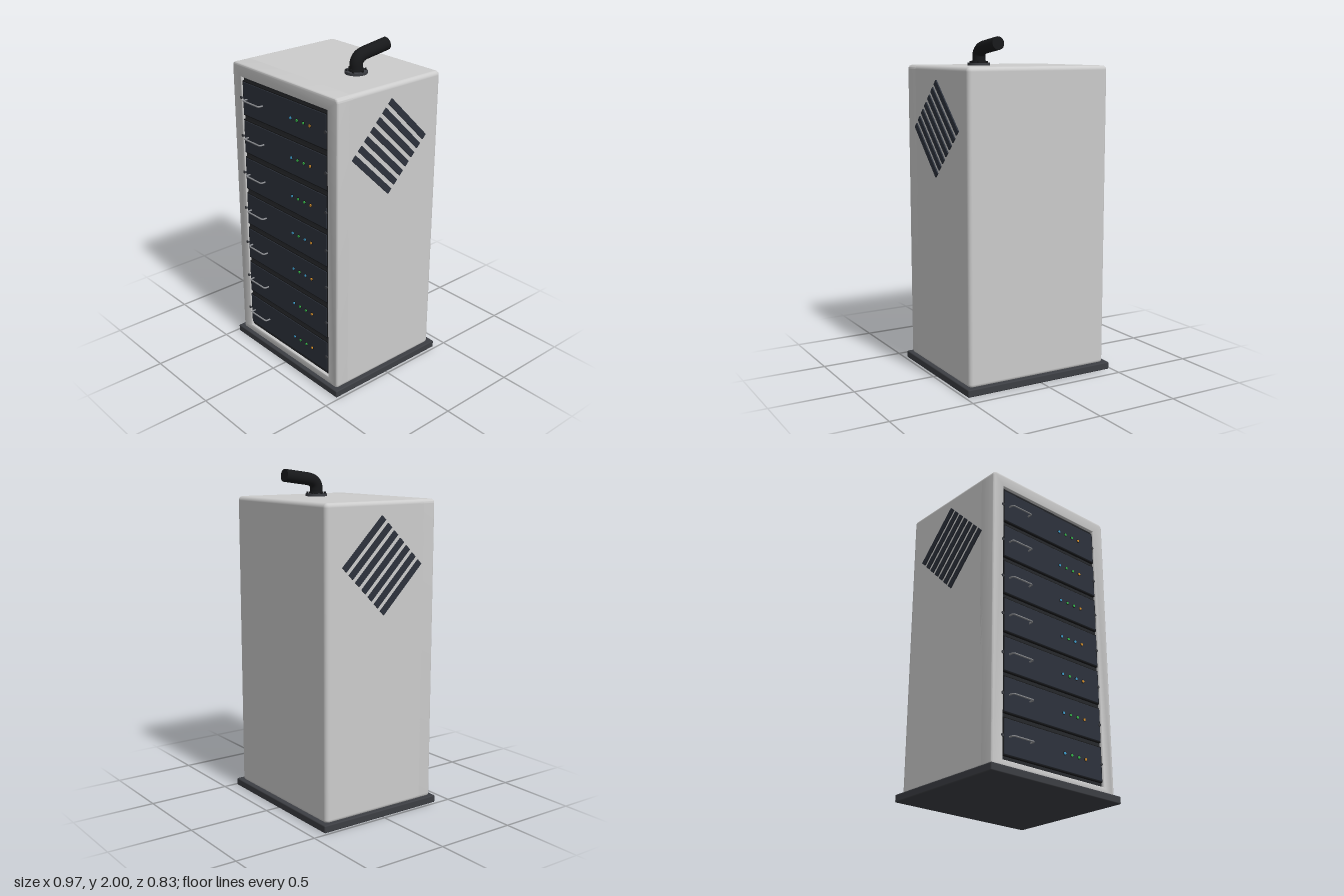
import * as THREE from 'three';
import { RoundedBoxGeometry } from 'three/addons/geometries/RoundedBoxGeometry.js';
import { toCreasedNormals } from 'three/addons/utils/BufferGeometryUtils.js';

const paint = (color) => new THREE.MeshStandardMaterial({ color });
const shellMat = paint(0xcccccc), baseMat = paint(0x3c3e43), blackMat = paint(0x17181a);
const drawerMat = paint(0x2d323c), gapMat = paint(0x26282c), steelMat = paint(0x8a8c90);
const blueMat = paint(0x3f9fd0), greenMat = paint(0x35b84a), orangeMat = paint(0xd8902a);

function add(parent, name, geometry, material, x = 0, y = 0, z = 0) {
  const mesh = new THREE.Mesh(geometry, material);
  mesh.name = name;
  mesh.position.set(x, y, z);
  parent.add(mesh);
  return mesh;
}

// Rounded rectangle outline
function roundedRect(target, x0, y0, x1, y1, r) {
  target.moveTo(x0 + r, y0);
  target.lineTo(x1 - r, y0).absarc(x1 - r, y0 + r, r, -Math.PI / 2, 0);
  target.lineTo(x1, y1 - r).absarc(x1 - r, y1 - r, r, 0, Math.PI / 2);
  target.lineTo(x0 + r, y1).absarc(x0 + r, y1 - r, r, Math.PI / 2, Math.PI);
  target.lineTo(x0, y0 + r).absarc(x0 + r, y0 + r, r, Math.PI, Math.PI * 1.5);
  return target;
}

// Front frame with the drawer opening
function frameGeometry() {
  const r = 0.025, bevel = 0.01;
  const shape = roundedRect(new THREE.Shape(), -0.46, 0.035, 0.46, 1.835, r);
  const hole = new THREE.Path([[-0.38, 0.086], [-0.38, 1.755], [0.375, 1.755], [0.375, 0.086]]
    .map((p) => new THREE.Vector2(...p)));
  shape.holes.push(hole);
  const geo = new THREE.ExtrudeGeometry(shape, {
    depth: 0.098, bevelThickness: bevel, bevelSize: bevel, bevelOffset: -bevel, bevelSegments: 4, curveSegments: 6,
  });
  geo.translate(0, 0, 0.27);
  return toCreasedNormals(geo, 0.7);
}

// U-shaped pull handle
function handleGeometry() {
  const v = (x, z) => new THREE.Vector3(x, 0, z);
  const path = new THREE.CurvePath();
  path.add(new THREE.LineCurve3(v(-0.075, 0), v(-0.075, 0.024)));
  path.add(new THREE.QuadraticBezierCurve3(v(-0.075, 0.024), v(-0.075, 0.037), v(-0.062, 0.037)));
  path.add(new THREE.LineCurve3(v(-0.062, 0.037), v(0.062, 0.037)));
  path.add(new THREE.QuadraticBezierCurve3(v(0.062, 0.037), v(0.075, 0.037), v(0.075, 0.024)));
  path.add(new THREE.LineCurve3(v(0.075, 0.024), v(0.075, 0)));
  return new THREE.TubeGeometry(path, 48, 0.005, 8);
}

function createDrawer(index, parts) {
  const drawer = new THREE.Group();
  drawer.name = 'drawer' + (index + 1);
  drawer.position.set(-0.0025, 0.215 + index * 0.236, 0);
  add(drawer, 'drawerRim', parts.rim, blackMat, 0, 0, 0.355);
  add(drawer, 'drawerFace', parts.face, drawerMat, 0, 0, 0.357);
  add(drawer, 'handle', parts.handle, steelMat, -0.2575, 0, 0.37);
  const third = index === 3 || index === 2 ? blueMat : greenMat;
  [blueMat, greenMat, third, orangeMat].forEach((mat, i) => {
    add(drawer, 'lampRing', parts.ring, blackMat, 0.0725 + i * 0.055, 0, 0.374);
    add(drawer, 'indicatorLamp', parts.lamp, mat, 0.0725 + i * 0.055, 0, 0.375);
  });
  for (const x of [-0.385, 0.365]) add(drawer, 'screw', parts.screw, baseMat, x, 0, 0.37);
  return drawer;
}

// Ventilation slats, tilted 45 degrees
function createVents(side) {
  const vents = new THREE.Group();
  vents.name = side > 0 ? 'leftVents' : 'rightVents';
  const geo = new THREE.BoxGeometry(0.03, 0.036, 0.385);
  for (let i = 0; i < 7; i++) {
    const t = i - 3;
    const slat = add(vents, 'ventSlat', geo, drawerMat, side * 0.4525, 1.477 - t * 0.0437, -0.003 + t * 0.0437);
    slat.rotation.x = -Math.PI / 4;
  }
  return vents;
}

// Exhaust pipe with bolted flange
function createPipe() {
  const pipe = new THREE.Group();
  pipe.name = 'exhaustPipe';
  pipe.position.set(0.182, 1.835, -0.003);
  add(pipe, 'flange', new THREE.CylinderGeometry(0.065, 0.065, 0.016, 40), baseMat, 0, 0.007, 0);
  add(pipe, 'collar', new THREE.CylinderGeometry(0.042, 0.045, 0.014, 32), blackMat, 0, 0.02, 0);
  const bolt = new THREE.CylinderGeometry(0.006, 0.006, 0.012, 8);
  for (let i = 0; i < 6; i++) {
    const a = (i / 6) * Math.PI * 2;
    add(pipe, 'flangeBolt', bolt, blackMat, Math.cos(a) * 0.054, 0.019, Math.sin(a) * 0.054);
  }
  const v = (y, z) => new THREE.Vector3(0, y, z);
  const end = v(0.127, -0.228), bend = v(0.105, -0.07);
  const path = new THREE.CurvePath();
  path.add(new THREE.LineCurve3(v(0, 0), v(0.045, 0)));
  path.add(new THREE.QuadraticBezierCurve3(v(0.045, 0), v(0.096, 0), bend));
  path.add(new THREE.LineCurve3(bend, end));
  add(pipe, 'pipe', new THREE.TubeGeometry(path, 40, 0.038, 28), blackMat);
  const cap = add(pipe, 'pipeEnd', new THREE.CircleGeometry(0.038, 28), blackMat, end.x, end.y, end.z);
  cap.quaternion.setFromUnitVectors(new THREE.Vector3(0, 0, 1), end.clone().sub(bend).normalize());
  return pipe;
}

export function createModel() {
  const model = new THREE.Group();
  model.name = 'serverCabinet';

  // Base and cabinet
  add(model, 'base', new RoundedBoxGeometry(0.97, 0.045, 0.823, 3, 0.007), baseMat, 0, 0.0225, -0.0065);
  add(model, 'cabinetBody', new RoundedBoxGeometry(0.92, 1.8, 0.71, 5, 0.025), shellMat, 0, 0.935, -0.035);
  add(model, 'frontFrame', frameGeometry(), shellMat);
  add(model, 'drawerBay', new THREE.BoxGeometry(0.755, 1.669, 0.05), gapMat, -0.0025, 0.9205, 0.335);

  // Drawers
  const round = (r, d) => new THREE.CylinderGeometry(r, r, d, 14).rotateX(Math.PI / 2);
  const parts = {
    rim: new RoundedBoxGeometry(0.75, 0.213, 0.036, 2, 0.004),
    face: new RoundedBoxGeometry(0.738, 0.199, 0.038, 2, 0.003),
    handle: handleGeometry(),
    ring: round(0.011, 0.007),
    lamp: round(0.0075, 0.014),
    screw: round(0.009, 0.022),
  };
  for (let i = 0; i < 7; i++) model.add(createDrawer(i, parts));

  model.add(createVents(1), createVents(-1), createPipe());
  return model;
}
